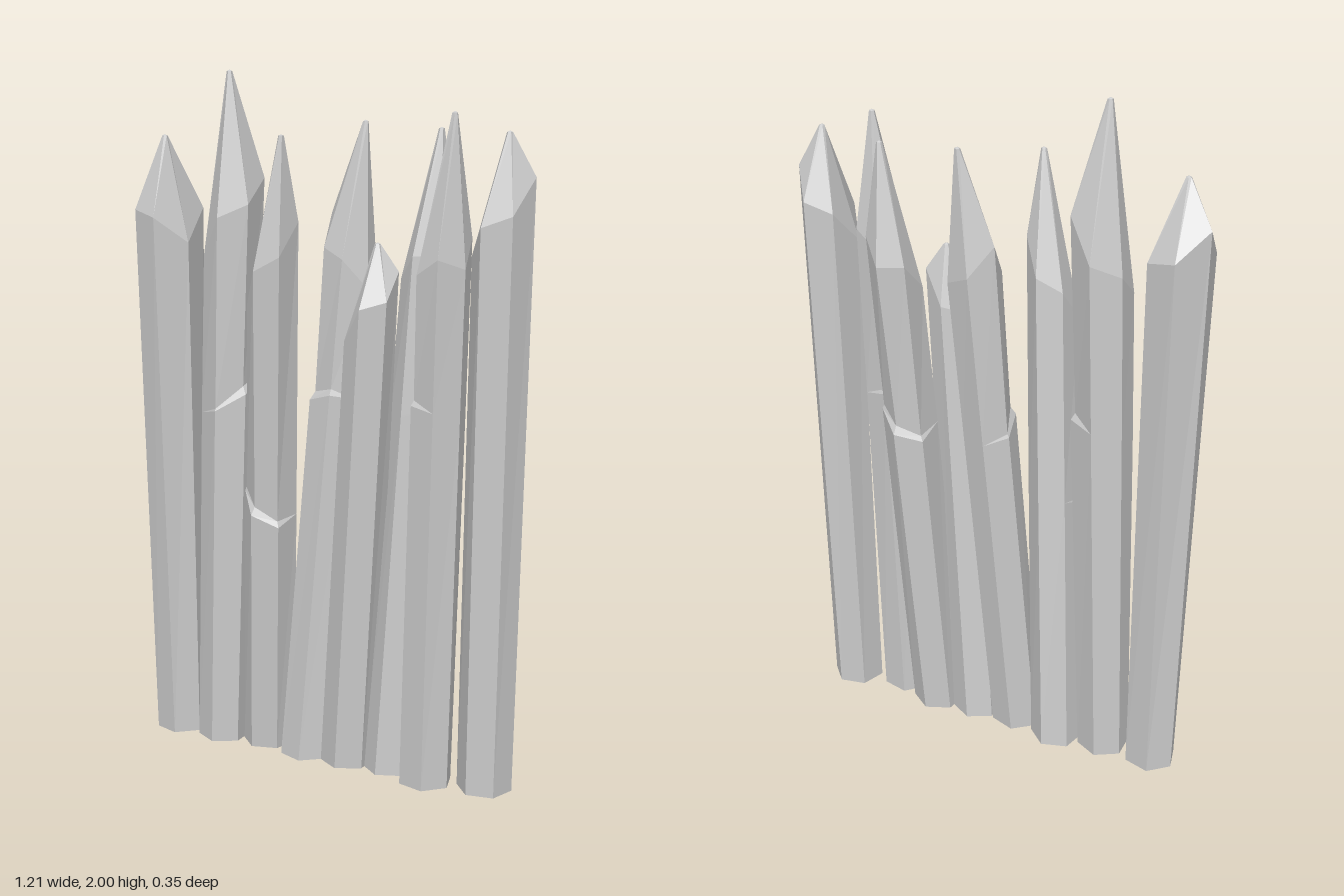
import * as THREE from 'three';

const SIDES = 6;

// Each stake: base centre [x, z], shoulder centre [x, z] and half sizes [rx, rz],
// shoulder heights on the left and right edge, tip [x, y, z], turn of the cross-section,
// and ledges [height, facing angle, slant] where the wood is split.
const STAKES = [
  { base: [-0.515, 0.04], top: [-0.522, 0.052], r: [0.09, 0.115], h: [1.67, 1.54], tip: [-0.52, 1.82, 0.07], turn: 0.25, ledges: [] },
  { base: [-0.36, 0.035], top: [-0.31, 0.025], r: [0.086, 0.095], h: [1.5, 1.67], tip: [-0.31, 2.0, 0.04], turn: 0.45, ledges: [[1.06, 0.1, 0.05]] },
  { base: [-0.215, 0.005], top: [-0.13, 0.098], r: [0.073, 0.082], h: [1.38, 1.55], tip: [-0.085, 1.82, 0.12], turn: 0.7, ledges: [[0.76, 1.5, -0.06]] },
  { base: [-0.067, 0.025], top: [0.02, -0.075], r: [0.076, 0.075], h: [1.57, 1.42], tip: [0.05, 1.86, -0.11], turn: 0.3, ledges: [[1.05, 2.2, 0.04]] },
  { base: [0.068, 0.015], top: [0.165, 0.055], r: [0.076, 0.072], h: [1.29, 1.42], tip: [0.175, 1.53, 0.04], turn: 0.5, ledges: [] },
  { base: [0.2, -0.005], top: [0.265, -0.09], r: [0.074, 0.085], h: [1.46, 1.54], tip: [0.295, 1.84, -0.1], turn: 0.6, ledges: [[1.02, -1.6, -0.05]] },
  { base: [0.335, 0.03], top: [0.38, 0.04], r: [0.073, 0.09], h: [1.5, 1.5], tip: [0.4, 1.88, 0.03], turn: 0.2, ledges: [[1.07, 3.3, 0.03]] },
  { base: [0.5, -0.015], top: [0.525, -0.015], r: [0.083, 0.096], h: [1.53, 1.68], tip: [0.54, 1.83, -0.01], turn: 0.8, ledges: [] },
];

const mix = THREE.MathUtils.lerp;

function stakeGeometry({ base, top, r, h, tip, turn, ledges }) {
  const shoulderY = (h[0] + h[1]) / 2;
  const angles = Array.from({ length: SIDES }, (_, i) => turn + (i / SIDES) * Math.PI * 2);

  // Point on the leaning shaft at a given height and angle
  const onShaft = (a, y, scale = 1) => {
    const t = y / shoulderY;
    return [
      mix(base[0], top[0], t) + Math.cos(a) * mix(0.079, r[0], t) * scale,
      y,
      mix(base[1], top[1], t) + Math.sin(a) * mix(0.077, r[1], t) * scale,
    ];
  };

  const rings = [angles.map((a) => onShaft(a, 0))];

  // Split ledges: one flank steps inward along a slanted line
  for (const [y, facing, slant] of ledges) {
    const bite = (a) => Math.max(0, Math.cos(a - facing));
    const height = (a) => y + slant * Math.cos(a - facing + 0.9);
    rings.push(angles.map((a) => onShaft(a, height(a), 1 + 0.06 * bite(a))));
    rings.push(angles.map((a) => onShaft(a, height(a) + 0.004 + 0.02 * bite(a), 1 - 0.13 * bite(a))));
  }

  // Uneven shoulder where the sharpened point begins
  rings.push(angles.map((a, i) => {
    const p = onShaft(a, shoulderY);
    p[1] += (Math.cos(a) * (h[1] - h[0])) / 2 + (i % 2 ? 0.025 : -0.025) - 0.03 * Math.sin(a);
    return p;
  }));

  // Small blunt tip
  rings.push(angles.map((a) => [tip[0] + Math.cos(a) * 0.008, tip[1] - 0.004, tip[2] + Math.sin(a) * 0.008]));

  const pos = [];
  const tri = (...corners) => corners.forEach((c) => pos.push(...c));
  const foot = [base[0], 0, base[1]];
  const last = rings[rings.length - 1];
  for (let i = 0; i < SIDES; i++) {
    const j = (i + 1) % SIDES;
    tri(foot, rings[0][i], rings[0][j]);
    for (let k = 0; k < rings.length - 1; k++) {
      const lo = rings[k], up = rings[k + 1];
      tri(lo[j], lo[i], up[i]);
      tri(lo[j], up[i], up[j]);
    }
    tri(tip, last[j], last[i]);
  }
  const geometry = new THREE.BufferGeometry();
  geometry.setAttribute('position', new THREE.Float32BufferAttribute(pos, 3));
  geometry.computeVertexNormals();
  return geometry;
}

export function createModel() {
  const fence = new THREE.Group();
  fence.name = 'palisade';
  const wood = new THREE.MeshStandardMaterial({ color: 0xcccccc, flatShading: true });
  STAKES.forEach((stake, i) => {
    const mesh = new THREE.Mesh(stakeGeometry(stake), wood);
    mesh.name = `stake${i + 1}`;
    fence.add(mesh);
  });
  return fence;
}
